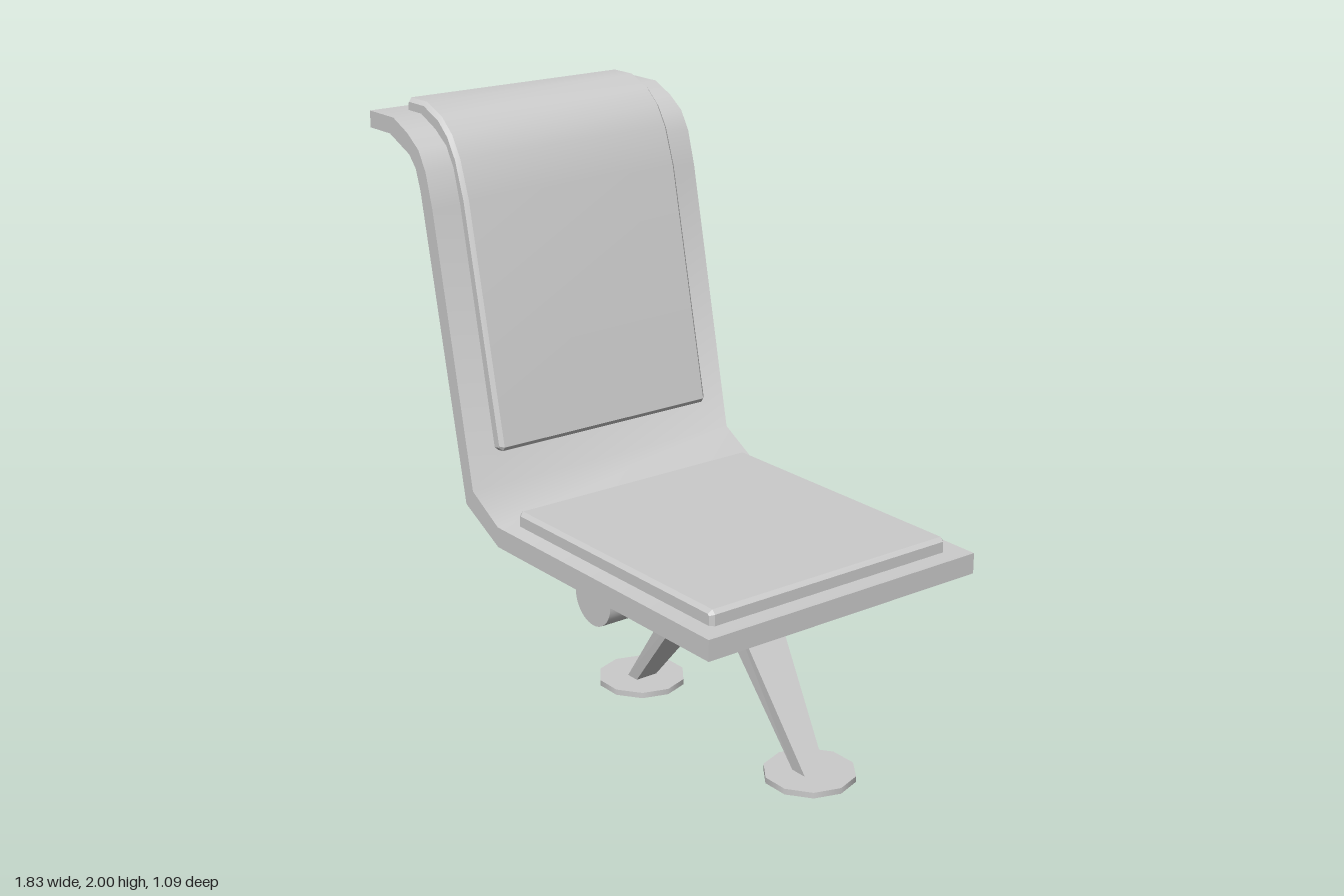
import * as THREE from 'three';
import { toCreasedNormals } from 'three/addons/utils/BufferGeometryUtils.js';

const material = new THREE.MeshStandardMaterial({ color: 0xcccccc });

function addMesh(group, name, geometry) {
  const mesh = new THREE.Mesh(geometry, material);
  mesh.name = name;
  group.add(mesh);
  return mesh;
}

// Side profile in x/y, extruded across the chair's width and centred on z = 0
function extrudeProfile(points, width, crease, bevel = 0) {
  const shape = new THREE.Shape(points.map(([x, y]) => new THREE.Vector2(x, y)));
  const geometry = new THREE.ExtrudeGeometry(shape, {
    depth: width - 2 * bevel,
    bevelEnabled: bevel > 0,
    bevelThickness: bevel,
    bevelSize: bevel,
    bevelOffset: -bevel,
    bevelSegments: 1,
  });
  geometry.translate(0, 0, -width / 2 + bevel);
  return toCreasedNormals(geometry, crease);
}

// Tapered four-sided strut; each end is [x1, y1, x2, y2, halfWidth]
function taperedStrut(bottom, top) {
  const ring = ([x1, y1, x2, y2, w]) => [
    [x1, y1, w], [x2, y2, w], [x2, y2, -w], [x1, y1, -w],
  ];
  const a = ring(bottom), b = ring(top), positions = [];
  const quad = (p, q, r, s) => positions.push(...p, ...q, ...r, ...p, ...r, ...s);
  for (let i = 0; i < 4; i++) {
    const j = (i + 1) % 4;
    quad(a[i], a[j], b[j], b[i]);
  }
  quad(a[3], a[2], a[1], a[0]);
  quad(b[0], b[1], b[2], b[3]);
  const geometry = new THREE.BufferGeometry();
  geometry.setAttribute('position', new THREE.Float32BufferAttribute(positions, 3));
  geometry.computeVertexNormals();
  return geometry;
}

export function createModel() {
  const chair = new THREE.Group();
  chair.name = 'loungeChair';

  // One-piece bent shell: seat, recline bend and rolled-over headrest
  const shellFront = [
    [0.912, 0.685], [-0.2, 0.685], [-0.345, 0.767], [-0.54, 1.69],
    [-0.575, 1.81], [-0.615, 1.875], [-0.68, 1.92], [-0.765, 1.957], [-0.915, 1.957],
  ];
  const shellBack = [
    [-0.915, 1.9], [-0.79, 1.9], [-0.672, 1.85], [-0.635, 1.81],
    [-0.61, 1.74], [-0.388, 0.71], [-0.2, 0.615], [0.912, 0.615],
  ];
  addMesh(chair, 'shell', extrudeProfile([...shellFront, ...shellBack], 1.085, 0.9));

  // Back cushion following the shell, its underside sunk into it
  const backPad = [
    [-0.33, 0.9], [-0.34, 0.885], [-0.385, 0.878], [-0.56, 1.7],
    [-0.59, 1.8], [-0.63, 1.86], [-0.69, 1.905], [-0.77, 1.94], [-0.857, 1.94],
    [-0.857, 1.985], [-0.845, 1.998], [-0.745, 1.998], [-0.655, 1.962],
    [-0.597, 1.912], [-0.552, 1.84], [-0.507, 1.71],
  ].reverse();
  addMesh(chair, 'backCushion', extrudeProfile(backPad, 0.87, 0.55, 0.013));

  // Seat cushion with chamfered top edges
  const seatPad = [
    [-0.175, 0.67], [0.847, 0.67], [0.847, 0.722], [0.834, 0.735],
    [-0.162, 0.735], [-0.175, 0.722],
  ];
  addMesh(chair, 'seatCushion', extrudeProfile(seatPad, 0.96, 0.3, 0.013));

  // Half-round beam under the seat
  const beam = new THREE.Shape();
  beam.absarc(0.333, 0.617, 0.092, Math.PI, Math.PI * 2, false);
  const beamGeometry = new THREE.ExtrudeGeometry(beam, {
    depth: 1.085, bevelEnabled: false, curveSegments: 12,
  });
  beamGeometry.translate(0, 0, -0.5425);
  addMesh(chair, 'supportBeam', toCreasedNormals(beamGeometry, 0.6));

  // Splayed legs
  addMesh(chair, 'rearLeg',
    taperedStrut([-0.163, 0.015, -0.113, 0.015, 0.042], [0.257, 0.576, 0.31, 0.531, 0.095]));
  addMesh(chair, 'frontLeg',
    taperedStrut([0.725, 0.015, 0.786, 0.015, 0.042], [0.357, 0.531, 0.413, 0.576, 0.095]));

  // Disc feet
  for (const [name, x] of [['rearFoot', -0.137], ['frontFoot', 0.757]]) {
    const foot = new THREE.CylinderGeometry(0.152, 0.152, 0.02, 10);
    foot.rotateY(Math.PI / 2);
    addMesh(chair, name, toCreasedNormals(foot, 0.7)).position.set(x, 0.01, 0);
  }

  return chair;
}
